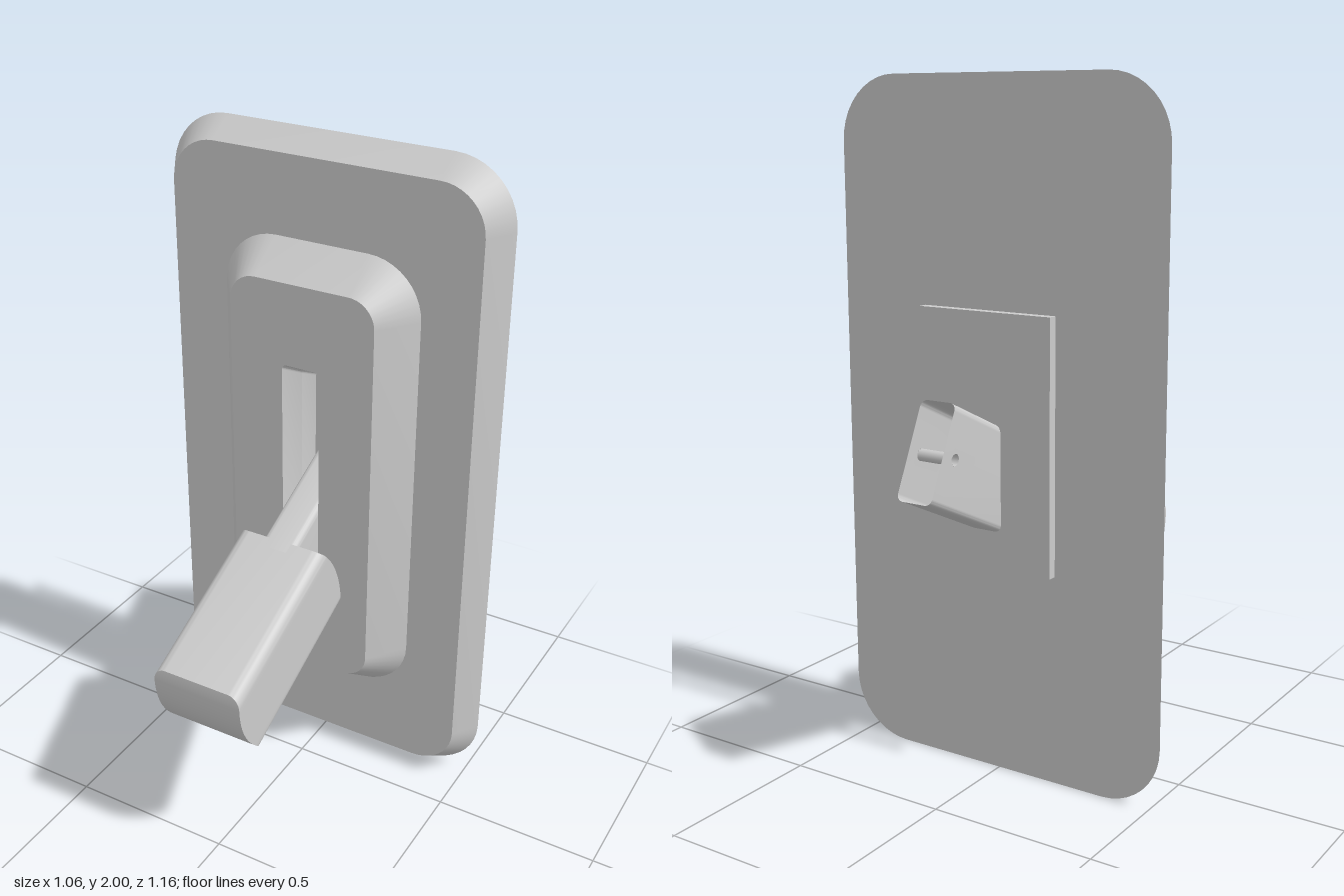
import * as THREE from 'three';
import { mergeGeometries, toCreasedNormals } from 'three/addons/utils/BufferGeometryUtils.js';

const plastic = new THREE.MeshStandardMaterial({ color: 0xcccccc });
plastic.name = 'light grey';
plastic.side = THREE.DoubleSide;

// Anticlockwise rounded rectangle from x = -w to w and y = y0 to y1, starting at the lower right corner
function outline(w, y0, y1, r, steps = 10) {
  const points = [];
  const corners = [[w - r, y0 + r, -0.5], [w - r, y1 - r, 0], [-w + r, y1 - r, 0.5], [-w + r, y0 + r, 1]];
  for (const [cx, cy, start] of corners) {
    for (let i = 0; i <= steps; i++) {
      const a = Math.PI * (start + (0.5 * i) / steps);
      points.push(new THREE.Vector2(cx + r * Math.cos(a), cy + r * Math.sin(a)));
    }
  }
  return points;
}

const at = (points, z) => points.map((p) => new THREE.Vector3(p.x, p.y, z));
const closed = (points) => [...points, points[0]];

// Surface between two rows of points
function strip(a, b) {
  const corners = [];
  for (let i = 0; i < a.length - 1; i++) {
    corners.push(a[i], a[i + 1], b[i + 1], a[i], b[i + 1], b[i]);
  }
  return new THREE.BufferGeometry().setFromPoints(corners);
}

// Flat face with an optional hole
function face(points, hole, z, backward = false) {
  const shape = new THREE.Shape(points);
  if (hole) shape.holes.push(new THREE.Path(hole));
  let g = new THREE.ShapeGeometry(shape).toNonIndexed();
  g.deleteAttribute('uv');
  g.deleteAttribute('normal');
  if (backward) g.rotateY(Math.PI);
  return g.translate(0, 0, z);
}

function part(name, geometries) {
  const mesh = new THREE.Mesh(toCreasedNormals(mergeGeometries(geometries), 0.5), plastic);
  mesh.name = name;
  return mesh;
}

// Bevelled slab with a slot whose ends taper towards the back
function slab(name, back, front, slotBack, slotFront, z0, z1) {
  return part(name, [
    strip(closed(at(back, z0)), closed(at(front, z1))),
    strip(closed(at(slotFront, z1)), closed(at(slotBack, z0))),
    face(front, slotFront, z1),
    face(back, slotBack, z0, true),
  ]);
}

// Solid grip with rounded long edges and bulging ends
function makeHandle() {
  const w = 0.14, h = 0.139, r = 0.036;
  const corners = outline(w, -h, h, r, 8);
  const right = [...corners.slice(0, 9)];
  for (let i = 1; i < 14; i++) {
    right.push(new THREE.Vector2(w, THREE.MathUtils.lerp(-h + r, h - r, i / 14)));
  }
  right.push(...corners.slice(9, 18));
  const left = right.map((p) => new THREE.Vector2(-p.x, p.y));
  const bent = (points, z, bulge) =>
    points.map((p) => new THREE.Vector3(p.x, p.y, z + bulge * (1 - (p.y / h) ** 2)));
  const ends = [[0.588, -0.03], [1.088, 0.04]];
  const [rb, rf] = ends.map(([z, b]) => bent(right, z, b));
  const [lb, lf] = ends.map(([z, b]) => bent(left, z, b));
  const ring = (a, b) => closed([...a, ...[...b].reverse()]);
  return part('handle', [strip(ring(rb, lb), ring(rf, lf)), strip(rf, lf), strip(lb, rb)]);
}

// Hollow stem, open at the back, with a cross hole through both sides
function makeStem() {
  const w = 0.056, h = 0.139, r = 0.02, z0 = -0.057, z1 = 0.62;
  const o = outline(w, -h, h, r, 6);
  const top = o.slice(7, 21);
  const bottom = [...o.slice(21), ...o.slice(0, 7)];
  const geometries = [top, bottom].map((p) => strip(at(p, z0), at(p, z1)));
  const panel = [[-z1, -h + r], [-z0, -h + r], [-z0, h - r], [-z1, h - r]].map((p) => new THREE.Vector2(...p));
  const hole = new THREE.Path().absarc(0, 0, 0.017, 0, Math.PI * 2, true).getPoints(10);
  hole.pop();
  geometries.push(face(panel, hole, 0).rotateY(Math.PI / 2).translate(w, 0, 0));
  const mirrored = panel.map((p) => new THREE.Vector2(-p.x, p.y)).reverse();
  geometries.push(face(mirrored, hole, 0).rotateY(-Math.PI / 2).translate(-w, 0, 0));
  return part('stem', geometries);
}

export function createModel() {
  const model = new THREE.Group();
  model.name = 'toggleSwitch';

  // Wall plate and raised surround share one tapered slot
  const slotBack = outline(0.06, 0.72, 1.28, 0.015, 4);
  const slotMiddle = outline(0.06, 0.68, 1.32, 0.015, 4);
  const slotFront = outline(0.06, 0.62, 1.38, 0.015, 4);
  model.add(slab('wallPlate', outline(0.532, 0, 2, 0.185), outline(0.48, 0.055, 1.945, 0.135),
    slotBack, slotMiddle, -0.185, -0.103));
  model.add(slab('raisedSurround', outline(0.31, 0.295, 1.71, 0.165), outline(0.227, 0.38, 1.625, 0.08),
    slotMiddle, slotFront, -0.103, 0.01));

  // Sliding cover behind the slot
  const cover = new THREE.Mesh(new THREE.BoxGeometry(0.432, 0.726, 0.028), plastic);
  cover.name = 'backCover';
  cover.position.set(0, 1.002, -0.239);
  model.add(cover);

  // Lever tilted down about its cross hole
  const lever = new THREE.Group();
  lever.name = 'lever';
  lever.position.set(0, 1, -0.465);
  lever.rotation.x = THREE.MathUtils.degToRad(25);
  const pivot = new THREE.Mesh(new THREE.CylinderGeometry(0.017, 0.017, 0.112, 10, 1, true), plastic);
  pivot.name = 'pivotSleeve';
  pivot.rotation.z = Math.PI / 2;
  lever.add(makeStem(), makeHandle(), pivot);
  model.add(lever);
  return model;
}
